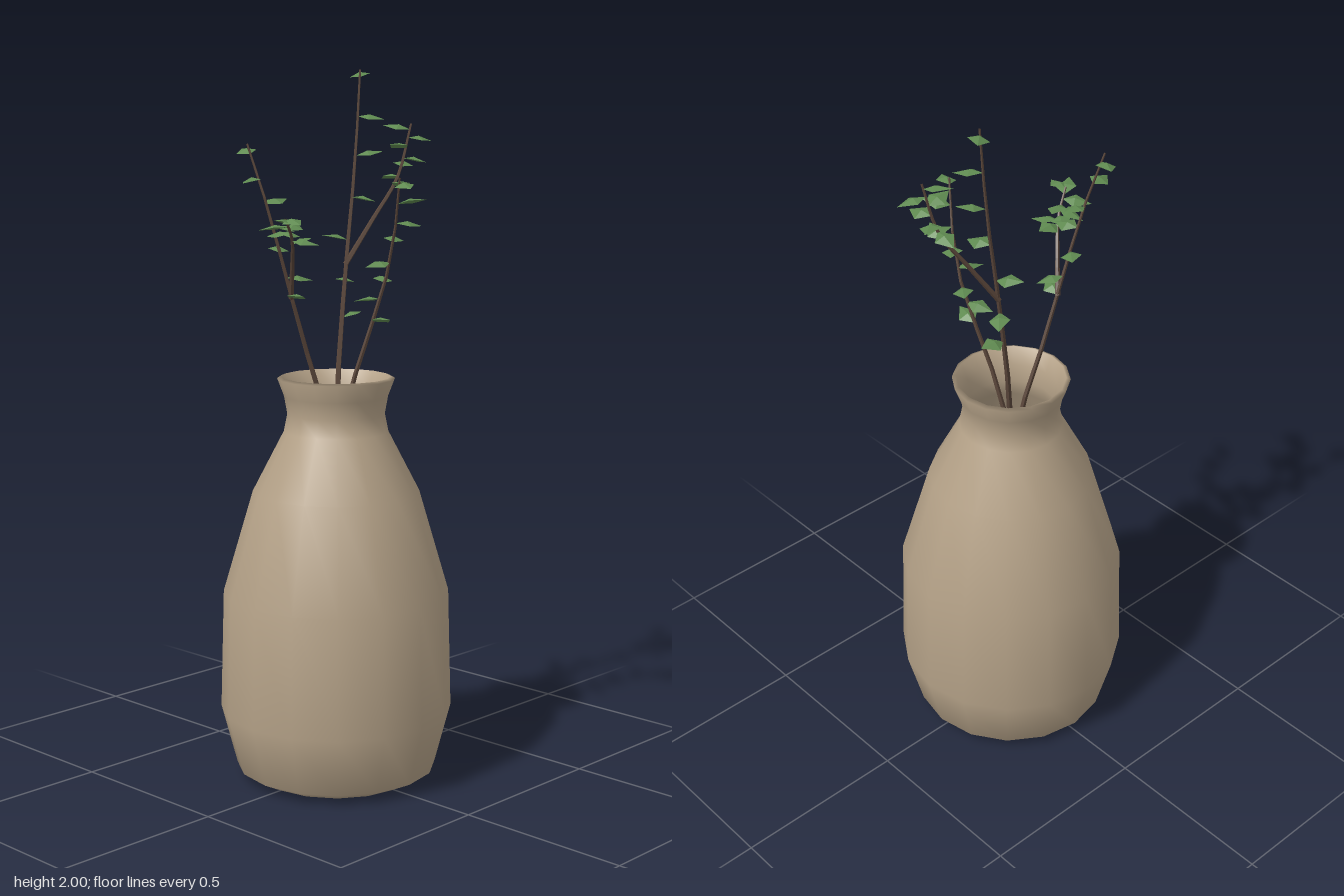
import * as THREE from 'three';

const clay = new THREE.MeshStandardMaterial({ color: 0xb5a288, side: THREE.DoubleSide });
const bark = new THREE.MeshStandardMaterial({ color: 0x5a463a, flatShading: true });
const green = new THREE.MeshStandardMaterial({ color: 0x5f8a50, flatShading: true, side: THREE.DoubleSide });

// Vase: the inner wall repeats the outer one, moved inwards
function vaseGeometry() {
  const outer = [
    [0.225, 0], [0.285, 0.03], [0.33, 0.2], [0.32, 0.54], [0.235, 0.83],
    [0.147, 1], [0.137, 1.05], [0.146, 1.1], [0.165, 1.15],
  ].map(([r, y]) => new THREE.Vector2(r, y));
  const inner = outer.slice(1).reverse().map((p) => new THREE.Vector2(p.x - 0.012, p.y + 0.005));
  return new THREE.LatheGeometry([new THREE.Vector2(0, 0), ...outer, ...inner, new THREE.Vector2(0, 0.035)], 16);
}

// Leaf: a four-sided cone pressed into a kite, pointing along +z from its base
function leafGeometry() {
  const g = new THREE.ConeGeometry(0.5, 0.12, 4, 1, true);
  const p = g.attributes.position;
  for (let i = 0; i < p.count; i++) {
    const z = p.getZ(i);
    p.setX(i, p.getX(i) * 0.72);
    p.setZ(i, z + 0.5 - 0.08 * (1 - 2 * Math.abs(z)));
  }
  g.computeVertexNormals();
  return g;
}

// Twig: a tube whose rings shrink towards the tip
function twigGeometry(curve, r0, r1, segments = 12, sides = 5) {
  const g = new THREE.TubeGeometry(curve, segments, 1, sides, false);
  const p = g.attributes.position;
  const v = new THREE.Vector3();
  for (let i = 0; i < p.count; i++) {
    const t = Math.floor(i / (sides + 1)) / segments;
    const c = curve.getPointAt(t);
    v.fromBufferAttribute(p, i).sub(c).multiplyScalar(r0 + (r1 - r0) * t).add(c);
    p.setXYZ(i, v.x, v.y, v.z);
  }
  g.computeVertexNormals();
  return g;
}

// Point of a curve nearest to a given height
function pointAtHeight(curve, y) {
  return curve.getPoints(80).reduce((a, b) => (Math.abs(b.y - y) < Math.abs(a.y - y) ? b : a));
}

// Twig with leaves spaced evenly in height; headings in degrees, 0 = front, 90 = left
function leafyTwig(name, radius, points, lowest, highest, headings) {
  const group = new THREE.Group();
  group.name = name;
  const curve = new THREE.CatmullRomCurve3(points.map((p) => new THREE.Vector3(...p)));
  const twig = new THREE.Mesh(twigGeometry(curve, radius, 0.003), bark);
  twig.name = 'twig';
  group.add(twig);
  const shape = leafGeometry();
  headings.forEach((heading, i) => {
    const leaf = new THREE.Mesh(shape, green);
    leaf.name = 'leaf';
    const y = THREE.MathUtils.lerp(lowest, highest, i / (headings.length - 1));
    leaf.position.copy(pointAtHeight(curve, y));
    leaf.rotation.set(i % 2 ? 0.12 : -0.15, THREE.MathUtils.degToRad(heading), i % 3 ? 0.15 : -0.2, 'YXZ');
    leaf.scale.setScalar(0.08);
    group.add(leaf);
  });
  return group;
}

// Main stem: stands on the vase floor and bends outwards at the neck
function stem(name, points, ...leaves) {
  const [x, , z] = points[0];
  return leafyTwig(name, 0.014, [[x * 0.2, 0.03, z * 0.2], [x * 0.2, 0.97, z * 0.2], ...points], ...leaves);
}

export function createModel() {
  const model = new THREE.Group();

  const vase = new THREE.Mesh(vaseGeometry(), clay);
  vase.name = 'vase';

  model.add(
    vase,
    stem('tallStem', [[0.03, 1.16, -0.02], [0.09, 1.48, -0.045], [0.14, 1.75, -0.06], [0.17, 2, -0.07]],
      1.31, 1.985, [90, 135, 207, 10, 53, 34, 135]),
    leafyTwig('tallStemBranch', 0.008, [[0.085, 1.46, -0.045], [0.17, 1.59, -0.015], [0.24, 1.7, 0.01], [0.28, 1.85, 0.025]],
      1.68, 1.84, [345, 170, 125, 5, 277, 75, 213]),
    stem('sideStem', [[-0.06, 1.16, -0.03], [-0.14, 1.4, -0.04], [-0.2, 1.62, -0.06], [-0.24, 1.8, -0.1]],
      1.38, 1.78, [340, 67, 139, 7, 90, 286, 153]),
    leafyTwig('sideStemBranch', 0.008, [[-0.135, 1.38, -0.04], [-0.17, 1.47, 0], [-0.22, 1.55, 0.05], [-0.28, 1.61, 0.085]],
      1.54, 1.61, [97, 27, 143, 190, 117, 219, 307, 346]),
    stem('frontStem', [[0.025, 1.16, 0.05], [0.06, 1.35, 0.1], [0.075, 1.5, 0.14], [0.04, 1.71, 0.2]],
      1.32, 1.7, [349, 201, 143, 254, 133, 67, 36, 334]),
  );
  return model;
}
